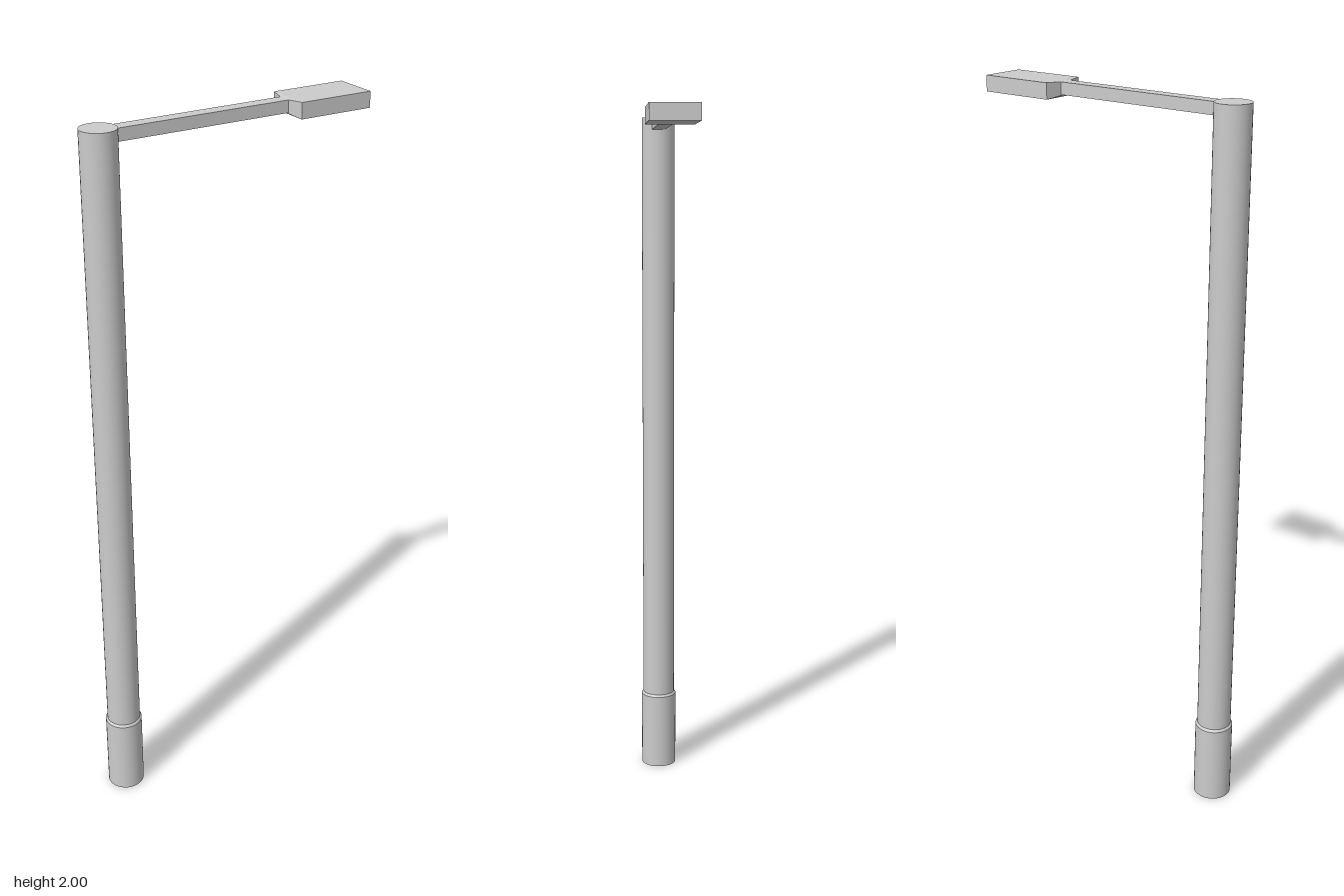
import * as THREE from 'three';

const material = new THREE.MeshStandardMaterial({ color: 0xcccccc });
const POLE_X = -0.351, AXIS_Z = -0.001;

// Box between two rectangular ends along x: each end is [x, bottom, top, halfDepth]
function taperedBeam(name, a, b) {
  const geometry = new THREE.BoxGeometry(1, 1, 1).toNonIndexed();
  const p = geometry.attributes.position;
  for (let i = 0; i < p.count; i++) {
    const [x, bottom, top, half] = p.getX(i) < 0 ? a : b;
    p.setXYZ(i, x, p.getY(i) < 0 ? bottom : top, Math.sign(p.getZ(i)) * half);
  }
  geometry.computeVertexNormals();
  const mesh = new THREE.Mesh(geometry, material);
  mesh.name = name;
  return mesh;
}

function upright(name, radius, bottom, top, topRadius = radius) {
  const mesh = new THREE.Mesh(
    new THREE.CylinderGeometry(topRadius, radius, top - bottom, 32), material);
  mesh.position.set(POLE_X, (bottom + top) / 2, AXIS_Z);
  mesh.name = name;
  return mesh;
}

export function createModel() {
  const model = new THREE.Group();
  model.name = 'streetLamp';

  // Column standing in a slightly wider sleeve with a bevelled rim
  model.add(
    upright('baseSleeve', 0.053, 0, 0.23),
    upright('sleeveBevel', 0.053, 0.23, 0.237, 0.048),
    upright('pole', 0.048, 0.23, 2));

  // Arm, flared neck and flat lamp head
  model.add(
    taperedBeam('arm', [-0.32, 1.965, 1.998, 0.019], [0.181, 1.965, 1.998, 0.019]),
    taperedBeam('headNeck', [0.18, 1.963, 1.998, 0.019], [0.19, 1.957, 2, 0.064]),
    taperedBeam('lampHead', [0.19, 1.957, 2, 0.064], [0.404, 1.957, 2, 0.064]));
  return model;
}
